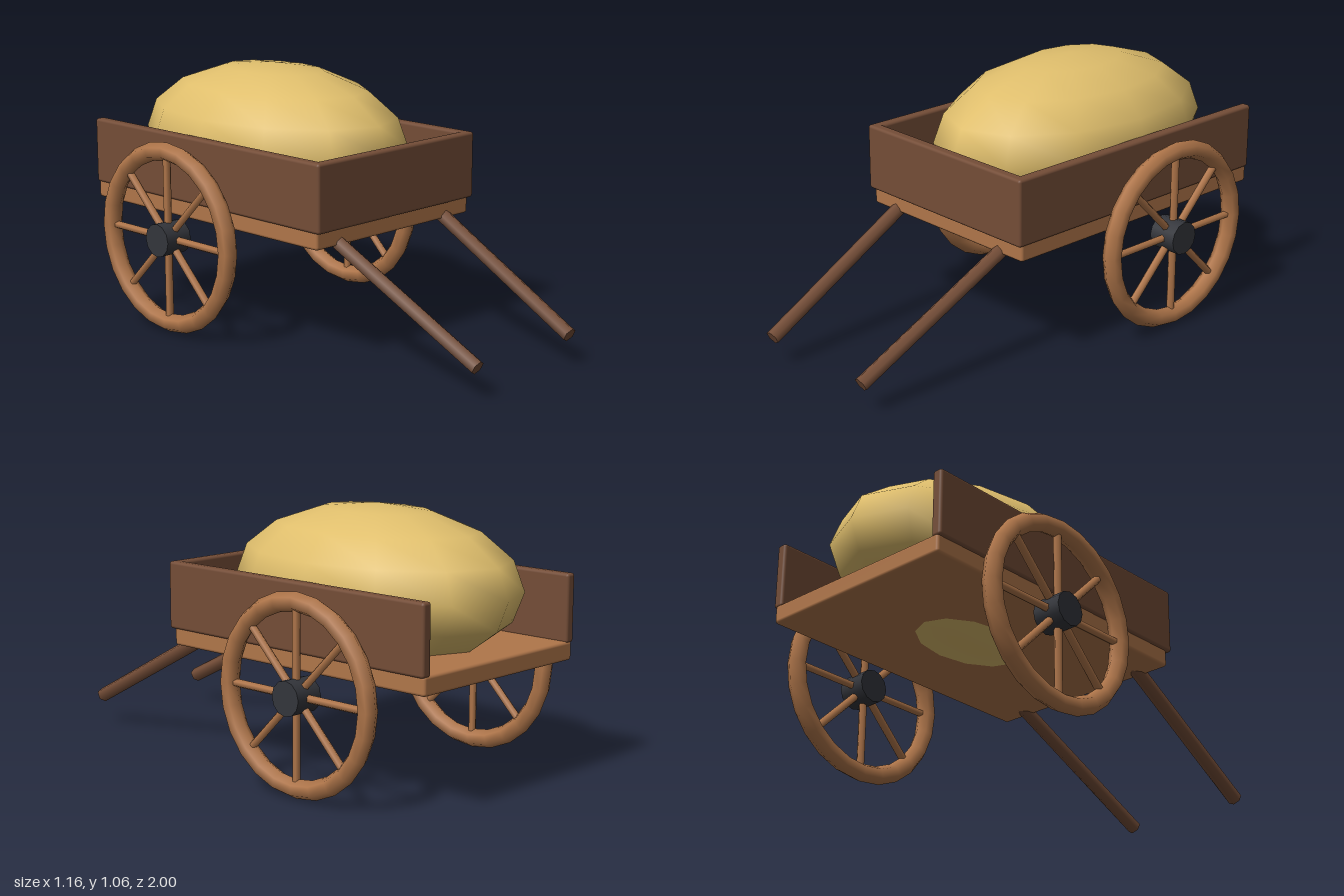
import * as THREE from 'three';
import { RoundedBoxGeometry } from 'three/addons/geometries/RoundedBoxGeometry.js';

const material = (name, color) => {
  const m = new THREE.MeshStandardMaterial({ color });
  m.name = name;
  return m;
};

export function createModel() {
  const cart = new THREE.Group();
  cart.name = 'handcart';
  const lightWood = material('light wood', 0xb0764a);
  const darkWood = material('dark wood', 0x744d37);
  const straw = material('straw', 0xdfbe6c);
  const iron = material('dark iron', 0x33353b);

  const add = (parent, name, geometry, mat, x = 0, y = 0, z = 0) => {
    const mesh = new THREE.Mesh(geometry, mat);
    mesh.name = name;
    mesh.position.set(x, y, z);
    parent.add(mesh);
    return mesh;
  };
  // Softly bevelled plank given by its extents
  const plank = (name, mat, [x0, x1], [y0, y1], [z0, z1]) =>
    add(cart, name, new RoundedBoxGeometry(x1 - x0, y1 - y0, z1 - z0, 2, 0.012), mat,
      (x0 + x1) / 2, (y0 + y1) / 2, (z0 + z1) / 2);

  // Bed with a front board and an open back
  plank('floor', lightWood, [-0.435, 0.435], [0.465, 0.54], [-0.975, 0.33]);
  plank('frontBoard', darkWood, [-0.445, 0.445], [0.532, 0.803], [0.305, 0.35]);

  // Load, bulging slightly through the floor
  const load = add(cart, 'load', new THREE.SphereGeometry(1, 12, 8), straw, 0, 0.75, -0.355);
  load.scale.set(0.425, 0.31, 0.645);

  const up = new THREE.Vector3(0, 1, 0);
  for (const [side, s] of [['left', 1], ['right', -1]]) {
    plank(side + 'Board', darkWood, s > 0 ? [0.4, 0.445] : [-0.445, -0.4],
      [0.532, 0.803], [-0.975, 0.34]);

    // Pull handle sloping down and slightly inwards
    const a = new THREE.Vector3(s * 0.305, 0.495, 0.27);
    const b = new THREE.Vector3(s * 0.272, 0.123, 0.986);
    const dir = b.clone().sub(a);
    const handle = add(cart, side + 'Handle',
      new THREE.CylinderGeometry(0.03, 0.03, dir.length(), 6), darkWood);
    handle.position.copy(a).add(b).multiplyScalar(0.5);
    handle.quaternion.setFromUnitVectors(up, dir.normalize());

    // Wheel: rim, hub and eight spokes
    const wheel = new THREE.Group();
    wheel.name = side + 'Wheel';
    wheel.position.set(s * 0.518, 0.395, -0.43);
    cart.add(wheel);
    add(wheel, 'rim', new THREE.TorusGeometry(0.354, 0.038, 6, 24).rotateY(Math.PI / 2), lightWood);
    add(wheel, 'hub', new THREE.CylinderGeometry(0.068, 0.068, 0.12, 12).rotateZ(Math.PI / 2), iron);
    for (let i = 0; i < 8; i++) {
      const spoke = new THREE.CylinderGeometry(0.016, 0.016, 0.34, 6)
        .translate(0, 0.17, 0).rotateX(i * Math.PI / 4);
      add(wheel, 'spoke', spoke, lightWood);
    }
  }
  return cart;
}
